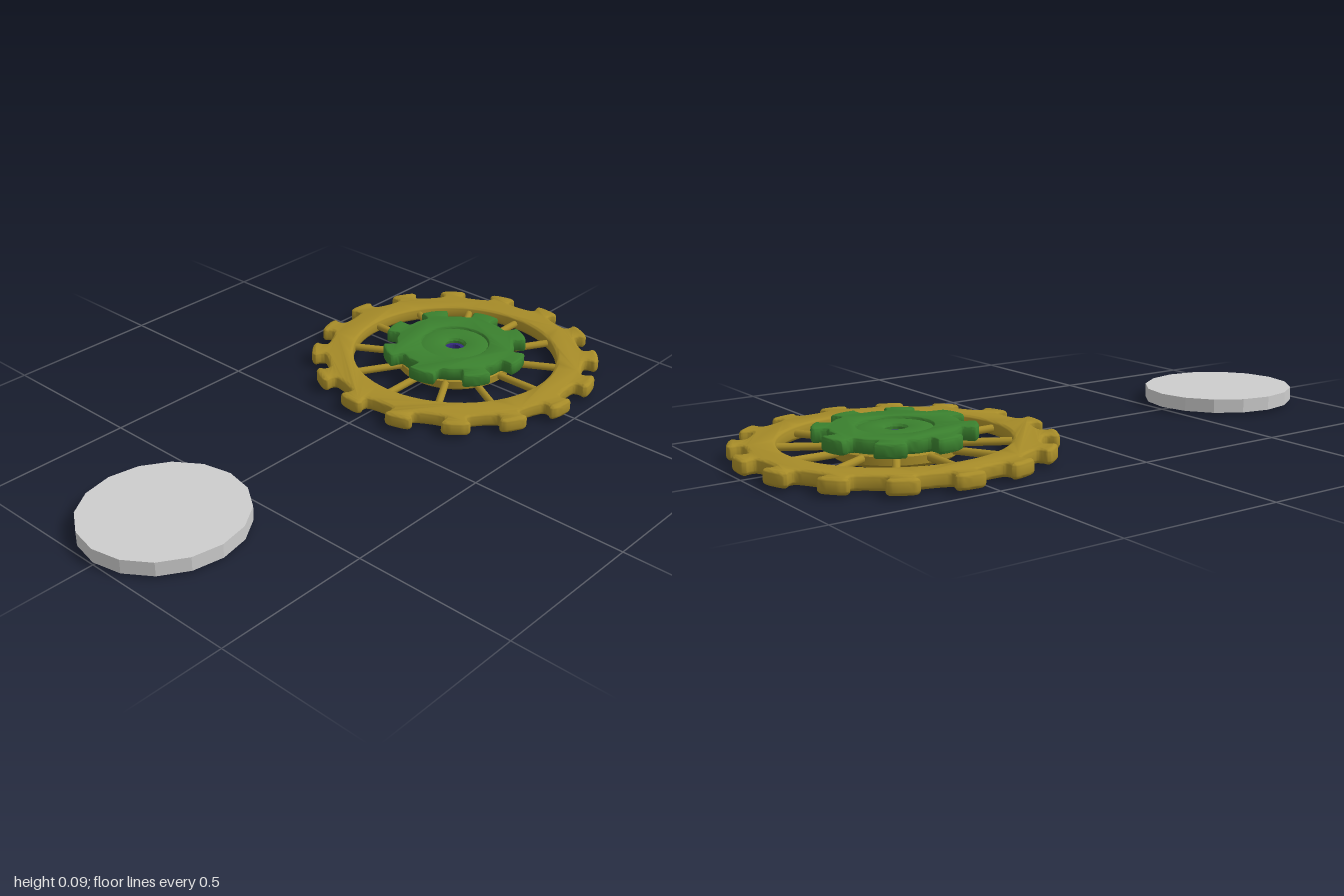
import * as THREE from 'three';
import { toCreasedNormals } from 'three/addons/utils/BufferGeometryUtils.js';

const CX = 0.52; // centre of the wheel
const rad = THREE.MathUtils.degToRad;

function material(name, color) {
  const m = new THREE.MeshStandardMaterial({ color });
  m.name = name;
  return m;
}

function part(parent, name, geometry, mat) {
  const mesh = new THREE.Mesh(geometry, mat);
  mesh.name = name;
  parent.add(mesh);
  return mesh;
}

// Rounded toothed ring lying flat; tooth is a list of [fraction of pitch, radius]
function gear(count, tooth, holeRadius, y0, y1, bevel) {
  const points = [];
  for (let i = count - 1; i >= 0; i--) {
    for (let j = tooth.length - 1; j >= 0; j--) {
      const a = (i + tooth[j][0]) * 2 * Math.PI / count;
      const r = tooth[j][1] ;
      points.push(new THREE.Vector3(Math.sin(a) * r, Math.cos(a) * r, 0));
    }
  }
  const curve = new THREE.CatmullRomCurve3(points, true, 'centripetal');
  const outline = [];
  const n = points.length * 3;
  for (let i = 0; i < n; i++) {
    const p = curve.getPoint(i / n);
    outline.push(new THREE.Vector2(p.x, p.y));
  }
  const shape = new THREE.Shape(outline);
  shape.holes.push(new THREE.Path().absarc(0, 0, holeRadius, 0, Math.PI * 2, true));
  const g = new THREE.ExtrudeGeometry(shape, {
    depth: y1 - y0 - 2 * bevel, curveSegments: 32, bevelEnabled: true,
    bevelThickness: bevel, bevelSize: bevel, bevelOffset: -bevel, bevelSegments: 4,
  });
  g.rotateX(-Math.PI / 2).translate(0, y0 + bevel, 0);
  return toCreasedNormals(g, rad(50));
}

// Closed turned profile, listed from the bottom outwards and up
function turned(profile) {
  const pts = profile.map(([r, y]) => new THREE.Vector2(r, y));
  pts.push(pts[0].clone());
  return toCreasedNormals(new THREE.LatheGeometry(pts, 48), rad(35));
}

export function createModel() {
  const model = new THREE.Group();
  model.name = 'gearWheelAndDisc';
  const brass = material('olive brass', 0xa68b28);
  const green = material('gear green', 0x3a802e);
  const purple = material('axle purple', 0x33287a);
  const grey = material('light grey', 0xcccccc);
  grey.flatShading = true;

  // Plain sixteen-sided disc
  const disc = part(model, 'disc', new THREE.CylinderGeometry(0.25, 0.25, 0.044, 16), grey);
  disc.scale.z = 0.96;
  disc.position.set(-0.75, 0.033, 0);

  const wheel = new THREE.Group();
  wheel.name = 'gearWheel';
  wheel.position.x = CX;
  model.add(wheel);

  // Large toothed rim, teeth flaring slightly outward
  const rimTooth = [
    [0.03, 0.432], [0.035, 0.448], [0.0, 0.462], [0.05, 0.473], [0.25, 0.476],
    [0.45, 0.473], [0.5, 0.462], [0.465, 0.448], [0.47, 0.432], [0.6, 0.425], [0.9, 0.425],
  ];
  part(wheel, 'rim', gear(16, rimTooth, 0.337, 0.01, 0.055, 0.012), brass);

  // Spokes
  const spoke = new THREE.CylinderGeometry(0.012, 0.012, 0.22, 10);
  spoke.rotateX(Math.PI / 2).translate(0, 0.033, 0.24);
  for (let i = 0; i < 12; i++) {
    part(wheel, 'spoke', spoke, brass).rotation.y = i * Math.PI / 6;
  }

  // Brass hub under the small gear
  part(wheel, 'hub', turned([
    [0.05, 0.010], [0.09, 0.010], [0.10, 0.003], [0.16, 0.003], [0.175, 0.007],
    [0.19, 0.018], [0.19, 0.042], [0.18, 0.050], [0.05, 0.050],
  ]), brass);

  // Small green gear
  const smallTooth = [
    [0.0, 0.195], [0.25, 0.196], [0.47, 0.195], [0.495, 0.203], [0.495, 0.222],
    [0.5, 0.235], [0.53, 0.238], [0.75, 0.241], [0.97, 0.238], [1.0, 0.235], [0.995, 0.222], [0.99, 0.203],
  ];
  part(wheel, 'smallGear', gear(8, smallTooth, 0.11, 0.048, 0.092, 0.009), green);

  // Dished centre of the small gear
  part(wheel, 'smallGearCentre', turned([
    [0.032, 0.050], [0.125, 0.050], [0.125, 0.080], [0.11, 0.083], [0.09, 0.088],
    [0.05, 0.088], [0.038, 0.085], [0.032, 0.078],
  ]), green);

  // Hollow axle
  part(wheel, 'axle', turned([
    [0.019, 0.004], [0.045, 0.004], [0.058, 0.008], [0.058, 0.030], [0.034, 0.045],
    [0.034, 0.070], [0.019, 0.070],
  ]), purple);

  return model;
}
